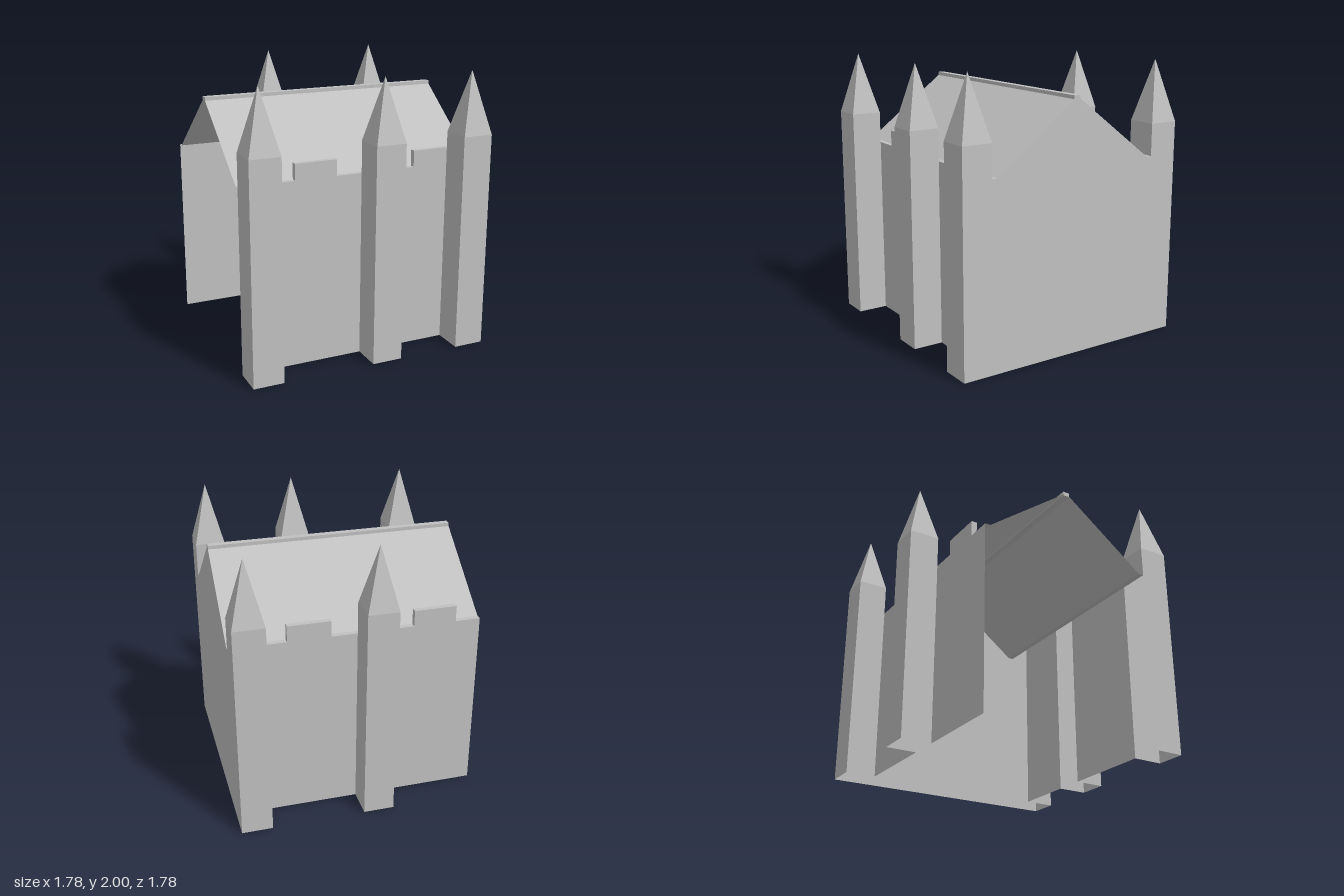
import * as THREE from 'three';

const stone = new THREE.MeshStandardMaterial({ color: 0xc0c0c0, side: THREE.DoubleSide });
stone.name = 'grey stone';

const END = 0.89;      // half length of the hall, and outer face of the towers
const WALL = 0.67;     // outer face of the long walls
const INNER = 0.63;    // foot of the roof
const EAVES = 1.33;
const RIDGE = 0.025;   // half width of the ridge beam
const TOWER_TOP = 1.56;
const TOWER = 0.22;

function add(group, name, geometry) {
  const mesh = new THREE.Mesh(geometry, stone);
  mesh.name = name;
  group.add(mesh);
  return mesh;
}

// Flat four-cornered panel, corners anticlockwise seen from outside
function panel(group, name, a, b, c, d) {
  const geometry = new THREE.BufferGeometry();
  geometry.setAttribute('position', new THREE.Float32BufferAttribute([a, b, c, a, c, d].flat(), 3));
  geometry.computeVertexNormals();
  return add(group, name, geometry);
}

// Upright panel running from (x0, z0) to (x1, z1)
function upright(group, name, x0, z0, x1, z1, y0, y1) {
  return panel(group, name, [x0, y0, z0], [x1, y0, z1], [x1, y1, z1], [x0, y1, z0]);
}

// Hollow tower, open to the inside below the eaves
function tower(x) {
  const group = new THREE.Group();
  group.name = 'tower';
  const l = x - TOWER / 2, r = x + TOWER / 2;
  upright(group, 'towerFront', l, END, r, END, 0, TOWER_TOP);
  upright(group, 'towerSideRight', r, END, r, WALL, 0, TOWER_TOP);
  upright(group, 'towerSideLeft', l, WALL, l, END, 0, TOWER_TOP);
  upright(group, 'towerInnerFace', r, WALL, l, WALL, EAVES, TOWER_TOP);

  // Four-sided spire
  const height = 2 - TOWER_TOP;
  const cone = new THREE.ConeGeometry(TOWER / Math.SQRT2, height, 4, 1, true);
  const spire = cone.rotateY(Math.PI / 4).toNonIndexed();
  spire.computeVertexNormals();
  add(group, 'spire', spire).position.set(x, TOWER_TOP + height / 2, (WALL + END) / 2);
  return group;
}

// One long side: wall, battlements, roof slope and towers
function longSide(name, towers, wallEnd) {
  const group = new THREE.Group();
  group.name = name;
  for (const [x0, x1] of [[-0.67, 0], [0.22, wallEnd]]) {
    upright(group, 'longWall', x0, WALL, x1, WALL, 0, EAVES);
  }
  panel(group, 'wallTop', [-END, EAVES, WALL], [END, EAVES, WALL], [END, EAVES, INNER], [-END, EAVES, INNER]);
  for (const [x0, x1] of [[-0.49, -0.185], [0.405, 0.71]]) {
    const merlon = new THREE.BoxGeometry(x1 - x0, 0.115, WALL - INNER);
    add(group, 'merlon', merlon).position.set((x0 + x1) / 2, EAVES + 0.0575, (WALL + INNER) / 2);
  }
  panel(group, 'roofSlope', [-END, EAVES, INNER], [END, EAVES, INNER], [END, 1.785, RIDGE], [-END, 1.785, RIDGE]);
  for (const x of towers) group.add(tower(x));
  return group;
}

export function createModel() {
  const model = new THREE.Group();
  model.name = 'hall';

  // The back is the front turned half way round, without one corner tower
  model.add(longSide('frontSide', [-0.78, 0.11, 0.78], 0.67));
  const back = longSide('backSide', [-0.78, 0.11], END);
  back.rotation.y = Math.PI;
  model.add(back);

  // Ridge beam
  add(model, 'ridgeBeam', new THREE.BoxGeometry(END * 2, 0.03, RIDGE * 2)).position.y = 1.795;

  // Gable wall closes the +x end; the other end is open
  const gable = new THREE.Shape([
    [-WALL, 0], [WALL, 0], [WALL, EAVES], [INNER, EAVES],
    [RIDGE, 1.785], [-RIDGE, 1.785], [-INNER, EAVES], [-WALL, EAVES],
  ].map(([x, y]) => new THREE.Vector2(x, y)));
  const gableWall = add(model, 'gableWall', new THREE.ShapeGeometry(gable));
  gableWall.rotation.y = Math.PI / 2;
  gableWall.position.x = END;

  return model;
}
